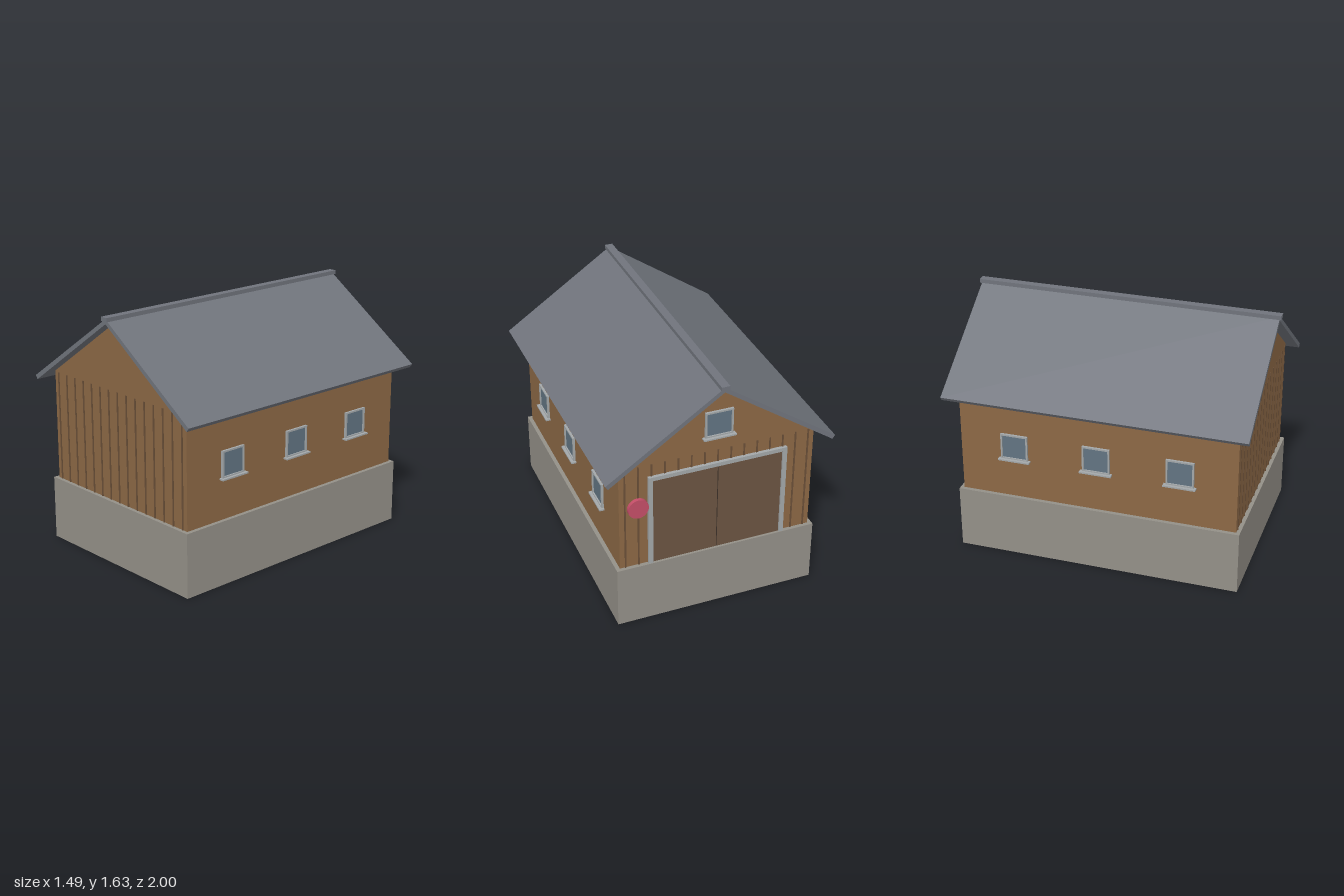
import * as THREE from 'three';

const mat = (color) => new THREE.MeshStandardMaterial({ color });

export function createModel() {
  const model = new THREE.Group();
  const stone = mat(0x949088), wood = mat(0x8c6845), batten = mat(0x6b5038);
  const slate = mat(0x70747c), trim = mat(0xa3a8aa), glass = mat(0x627482);
  const doorWood = mat(0x6b5442), dark = mat(0x3c3028), red = mat(0xc44e68);

  const add = (parent, name, geometry, material, x = 0, y = 0, z = 0) => {
    const mesh = new THREE.Mesh(geometry, material);
    mesh.name = name;
    mesh.position.set(x, y, z);
    parent.add(mesh);
    return mesh;
  };
  const box = (parent, name, material, w, h, d, x, y, z) =>
    add(parent, name, new THREE.BoxGeometry(w, h, d), material, x, y, z);
  const polygon = (points) => new THREE.Shape(points.map(([x, y]) => new THREE.Vector2(x, y)));
  const extrudeZ = (shape, depth) =>
    new THREE.ExtrudeGeometry(shape, { depth, bevelEnabled: false }).translate(0, 0, -depth / 2);

  // Stone plinth and gabled timber body
  box(model, 'plinth', stone, 1.324, 0.42, 1.87, 0, 0.21, 0);
  const body = polygon([[-0.636, 0.42], [0.636, 0.42], [0.636, 1.15], [0, 1.587], [-0.636, 1.15]]);
  add(model, 'walls', extrudeZ(body, 1.82), wood);

  // Two roof slabs meeting at the ridge, with a cap along it
  for (const s of [-1, 1]) {
    const slab = polygon([[0, 1.587], [s * 0.727, 1.088], [s * 0.744, 1.112], [0, 1.618]]);
    add(model, s > 0 ? 'leftRoof' : 'rightRoof', extrudeZ(slab, 1.976), slate);
  }
  box(model, 'ridgeCap', slate, 0.053, 0.026, 2, 0, 1.618, 0);

  // Vertical cover strips on both gable ends
  for (const s of [-1, 1]) {
    for (let i = -7; i <= 7; i++) {
      box(model, 'coverStrip', batten, 0.01, 0.725, 0.008, i * 0.0855, 0.7825, s * 0.911);
    }
  }

  // Window facing +z with its origin on the wall surface
  const makeWindow = (name, x, y, z, turn) => {
    const group = new THREE.Group();
    group.name = name;
    const w = 0.09, h = 0.088, t = 0.011;
    const frame = polygon([[-w, -h], [w, -h], [w, h], [-w, h]]);
    frame.holes.push(polygon([[t - w, t - h], [t - w, h - t], [w - t, h - t], [w - t, t - h]]));
    add(group, 'windowFrame', extrudeZ(frame, 0.018), trim, 0, 0, 0.006);
    box(group, 'windowPane', glass, 0.165, 0.16, 0.008, 0, 0, 0.002);
    box(group, 'windowSill', trim, 0.21, 0.01, 0.036, 0, -0.09, 0.016);
    group.position.set(x, y, z);
    group.rotation.y = turn;
    model.add(group);
  };
  for (const s of [-1, 1]) {
    for (const z of [-0.545, 0, 0.545]) makeWindow('sideWindow', s * 0.636, 0.778, z, s * Math.PI / 2);
  }
  makeWindow('gableWindow', 0, 1.335, -0.91, Math.PI);

  // Double door at the back with its frame
  for (const s of [-1, 1]) {
    box(model, 'doorLeaf', doorWood, 0.424, 0.62, 0.014, s * 0.215, 0.73, -0.912);
    box(model, 'doorPost', trim, 0.028, 0.64, 0.03, s * 0.439, 0.74, -0.917);
  }
  box(model, 'doorGap', dark, 0.008, 0.62, 0.012, 0, 0.73, -0.911);
  box(model, 'doorLintel', trim, 0.85, 0.026, 0.03, 0, 1.047, -0.917);

  // Round sign beside the door
  const disc = new THREE.CylinderGeometry(0.066, 0.066, 0.024, 32).rotateX(Math.PI / 2);
  add(model, 'roundSign', disc, red, 0.52, 0.857, -0.926);

  return model;
}
